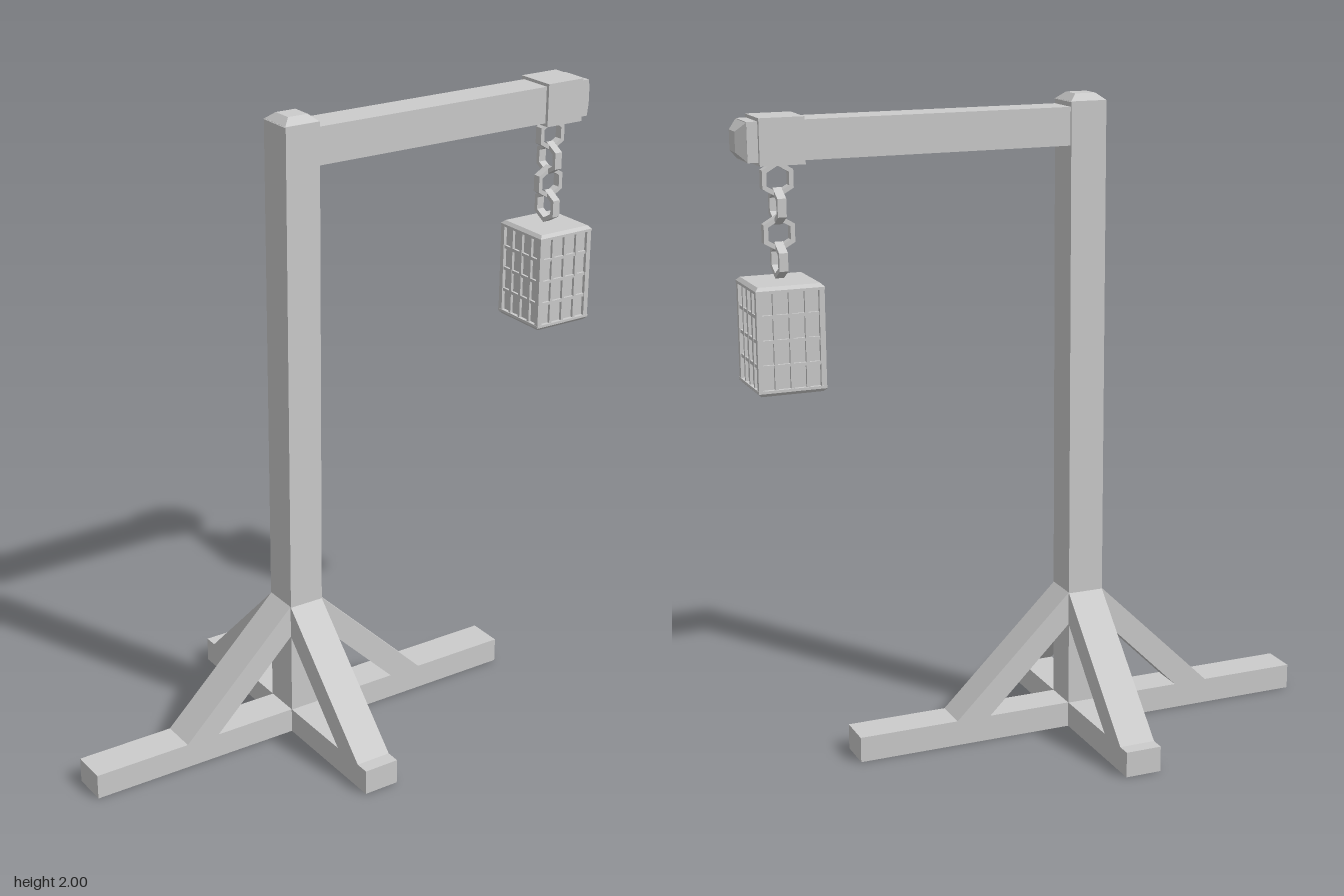
import * as THREE from 'three';

const material = new THREE.MeshStandardMaterial({ color: 0xcccccc, flatShading: true });

export function createModel() {
  const root = new THREE.Group();
  const POST_X = -0.163, CAGE_X = 0.782;

  const add = (name, geometry, x = 0, y = 0, z = 0, parent = root) => {
    const mesh = new THREE.Mesh(geometry, material);
    mesh.name = name;
    mesh.position.set(x, y, z);
    parent.add(mesh);
    return mesh;
  };
  const box = (w, h, d) => new THREE.BoxGeometry(w, h, d);
  // Square block narrowing from the bottom half-width to the top half-width
  const taper = (bottom, top, h) =>
    new THREE.CylinderGeometry(top * Math.SQRT2, bottom * Math.SQRT2, h, 4).rotateY(Math.PI / 4);

  // Crossed feet
  add('longFoot', box(1.5, 0.08, 0.114), -0.16, 0.04, 0);
  add('crossFoot', box(0.114, 0.08, 0.96), POST_X, 0.04, 0);

  // Post with bevelled cap
  add('post', box(0.114, 1.98, 0.118), POST_X, 0.99, 0);
  add('postCap', taper(0.059, 0.033, 0.022), POST_X, 1.989, 0);

  // Four diagonal braces around the post
  const braceShape = new THREE.Shape([
    [0.057, 0.45], [0.057, 0.345], [0.325, 0.08], [0.435, 0.08],
  ].map(([x, y]) => new THREE.Vector2(x, y)));
  const braceGeometry = new THREE.ExtrudeGeometry(braceShape, { depth: 0.114, bevelEnabled: false });
  braceGeometry.translate(0, 0, -0.057);
  for (let i = 0; i < 4; i++) {
    add('brace', braceGeometry, POST_X).rotation.y = (i * Math.PI) / 2;
  }

  // Arm, collar and bevelled end
  add('arm', box(0.985, 0.114, 0.112), 0.3875, 1.907, 0);
  add('armCollar', box(0.133, 0.134, 0.134), 0.782, 1.907, 0);
  add('armEnd', taper(0.056, 0.029, 0.028).rotateZ(-Math.PI / 2), 0.893, 1.907, 0);

  // Chain of hexagonal links, alternately turned
  const hexagon = (r) => Array.from({ length: 6 }, (_, i) => {
    const a = Math.PI / 2 + (i * Math.PI) / 3;
    return new THREE.Vector2(r * Math.cos(a), r * Math.sin(a));
  });
  const linkShape = new THREE.Shape(hexagon(0.053));
  linkShape.holes.push(new THREE.Path(hexagon(0.038)));
  const linkGeometry = new THREE.ExtrudeGeometry(linkShape, { depth: 0.026, bevelEnabled: false });
  linkGeometry.translate(0, 0, -0.013);
  for (let i = 0; i < 4; i++) {
    add('chainLink', linkGeometry, CAGE_X, 1.795 - i * 0.0775, 0).rotation.y = (i % 2) * Math.PI / 2;
  }

  // Hanging lantern: solid core, bevelled plates and a grid on each side
  const lantern = new THREE.Group();
  lantern.name = 'lantern';
  lantern.position.set(CAGE_X, 1.347, 0);
  root.add(lantern);
  add('lanternCore', box(0.18, 0.3, 0.18), 0, 0, 0, lantern);
  for (const s of [-1, 1]) {
    const [bottom, top] = s > 0 ? [0.102, 0.092] : [0.092, 0.102];
    add('lanternBevel', taper(bottom, top, 0.01), 0, s * 0.153, 0, lantern);
    add('lanternRim', box(0.204, 0.008, 0.204), 0, s * 0.144, 0, lantern);
    for (const t of [-1, 1]) {
      add('cornerBar', box(0.016, 0.29, 0.016), s * 0.093, 0, t * 0.093, lantern);
    }
  }
  for (let side = 0; side < 4; side++) {
    const grid = new THREE.Group();
    grid.name = 'lanternGrid';
    grid.rotation.y = (side * Math.PI) / 2;
    lantern.add(grid);
    for (const k of [-1, 0, 1]) {
      add('uprightBar', box(0.01, 0.29, 0.012), k * 0.047, 0, 0.093, grid);
      add('crossBar', box(0.18, 0.01, 0.012), 0, k * 0.072, 0.092, grid);
    }
  }

  return root;
}
